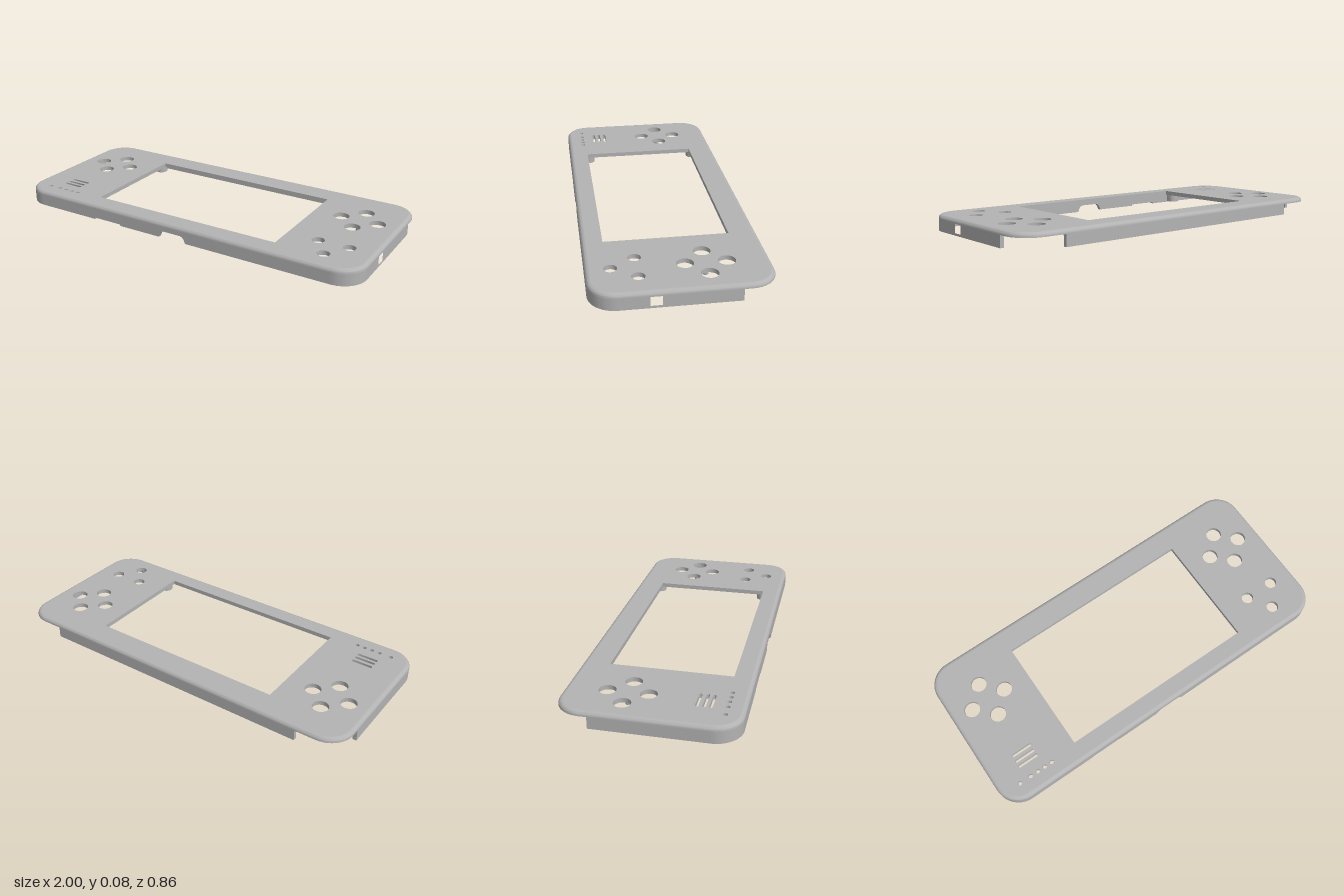
import * as THREE from 'three';
import { toCreasedNormals } from 'three/addons/utils/BufferGeometryUtils.js';

const W = 1, D = 0.43, R = 0.13;           // half width, half depth, corner radius
const TOP = 0.083, UNDER = 0.06;           // plate top and underside
const WALL = 0.02, FILLET = 0.02;

const material = new THREE.MeshStandardMaterial({ color: 0xb3b3b3 });
material.name = 'shell grey';

function add(parent, name, geometry) {
  const mesh = new THREE.Mesh(toCreasedNormals(geometry, 0.6), material);
  mesh.name = name;
  parent.add(mesh);
  return mesh;
}

// Rounded outline in plan, counter-clockwise from above; y of the plan is -z
function outline(inset) {
  const points = [], r = R - inset, steps = 10;
  [[1, 1], [-1, 1], [-1, -1], [1, -1]].forEach(([sx, sy], corner) => {
    for (let i = 0; i <= steps; i++) {
      const a = (corner + i / steps) * Math.PI / 2;
      points.push(new THREE.Vector2(sx * (W - R) + r * Math.cos(a), sy * (D - R) + r * Math.sin(a)));
    }
  });
  return points;
}

// Extrude a plan shape upwards between two heights
function slab(shape, y0, y1) {
  const g = new THREE.ExtrudeGeometry(shape, { depth: y1 - y0, bevelEnabled: false, curveSegments: 12 });
  return g.rotateX(-Math.PI / 2).translate(0, y0, 0);
}

function circle(x, z, r) {
  return new THREE.Path().absarc(x, -z, r, 0, Math.PI * 2, true);
}

function rectangle(x0, x1, y0, y1) {
  return new THREE.Path([[x0, y0], [x0, y1], [x1, y1], [x1, y0]].map(p => new THREE.Vector2(...p)));
}

function slot(x0, x1, z, r) {
  const p = new THREE.Path();
  p.absarc(x0 + r, -z, r, -Math.PI / 2, Math.PI / 2, true);
  p.absarc(x1 - r, -z, r, Math.PI / 2, -Math.PI / 2, true);
  p.closePath();
  return p;
}

// Loft a profile of [inset, height] around the outline
function rim(profile) {
  const pos = [], index = [], n = outline(0).length;
  for (const [inset, y] of profile) for (const p of outline(inset)) pos.push(p.x, y, -p.y);
  for (let j = 0; j < profile.length - 1; j++) {
    for (let i = 0; i < n; i++) {
      const k = (i + 1) % n, a = j * n + i, b = j * n + k;
      index.push(a, b, b + n, a, b + n, a + n);
    }
  }
  const g = new THREE.BufferGeometry();
  g.setAttribute('position', new THREE.Float32BufferAttribute(pos, 3));
  g.setIndex(index);
  return g;
}

export function createModel() {
  const model = new THREE.Group();
  model.name = 'handheldFrontShell';

  // Face plate with its openings
  const face = new THREE.Shape(outline(FILLET));
  face.holes.push(rectangle(-0.54, 0.535, -0.328, 0.292));
  for (const x of [-0.785, 0.785]) {
    for (const [dx, dz] of [[0, -0.1], [0, 0.098], [-0.1, 0], [0.098, 0]]) {
      face.holes.push(circle(x + dx, -0.128 + dz, 0.042));
    }
  }
  for (const [x, z] of [[0.702, 0.195], [0.865, 0.195], [0.783, 0.314]]) face.holes.push(circle(x, z, 0.032));
  for (const z of [0.205, 0.239, 0.27]) face.holes.push(slot(-0.845, -0.73, z, 0.008));
  for (const x of [-0.885, -0.82, -0.776, -0.734, -0.692]) face.holes.push(circle(x, 0.345, 0.011));
  add(model, 'facePlate', slab(face, UNDER, TOP));

  // Rounded rim around the plate
  const profile = [[FILLET, UNDER], [0, UNDER]];
  for (let i = 0; i <= 6; i++) {
    const a = i / 6 * Math.PI / 2;
    profile.push([FILLET * (1 - Math.cos(a)), TOP - FILLET + FILLET * Math.sin(a)]);
  }
  add(model, 'roundedRim', rim(profile));

  // Front wall with the port notch and a shallow groove
  const front = new THREE.Shape();
  front.moveTo(-(W - R), 0);
  front.lineTo(-0.5, 0);
  front.lineTo(-0.5, 0.008);
  front.lineTo(-0.33, 0.008);
  front.lineTo(-0.33, 0);
  front.lineTo(-0.08, 0);
  front.quadraticCurveTo(-0.072, 0.036, -0.045, 0.036);
  front.lineTo(0.045, 0.036);
  front.quadraticCurveTo(0.072, 0.036, 0.08, 0);
  front.lineTo(W - R, 0);
  front.lineTo(W - R, UNDER);
  front.lineTo(-(W - R), UNDER);
  const frontGeometry = new THREE.ExtrudeGeometry(front, { depth: WALL, bevelEnabled: false });
  add(model, 'frontWall', frontGeometry.translate(0, 0, D - WALL));

  // Side walls stop short of the back corners; the left one has a window
  const sideBack = -0.26, sideFront = D - R;
  for (const s of [-1, 1]) {
    const side = new THREE.Shape(rectangle(-sideFront, -sideBack, 0, UNDER).getPoints());
    if (s > 0) side.holes.push(rectangle(-0.16, -0.105, 0.012, 0.058));
    const g = new THREE.ExtrudeGeometry(side, { depth: WALL, bevelEnabled: false });
    g.rotateY(Math.PI / 2).translate(s > 0 ? W - WALL : -W, 0, 0);
    add(model, s > 0 ? 'leftWall' : 'rightWall', g);

    // Front corner walls
    const corner = new THREE.Shape();
    const a0 = s > 0 ? -Math.PI / 2 : -Math.PI, a1 = a0 + Math.PI / 2;
    corner.absarc(s * (W - R), -(D - R), R, a0, a1, false);
    corner.absarc(s * (W - R), -(D - R), R - WALL, a1, a0, true);
    add(model, s > 0 ? 'leftCornerWall' : 'rightCornerWall', slab(corner, 0, UNDER));
  }

  // Back wall between the open corners
  const back = new THREE.BoxGeometry(1.52, UNDER, WALL);
  add(model, 'backWall', back.translate(0, UNDER / 2, -D + WALL / 2 + 0.002));

  // Hollow screw posts beside the screen and small pegs between the buttons
  for (const x of [-0.59, 0.59]) {
    for (const z of [-0.32, 0.32]) {
      const post = new THREE.Shape().absarc(x, -z, 0.035, 0, Math.PI * 2, false);
      post.holes.push(circle(x, z, 0.016));
      add(model, 'screwPost', slab(post, 0.018, UNDER));
    }
  }
  for (const x of [-0.785, 0.785]) {
    const peg = new THREE.CylinderGeometry(0.015, 0.015, 0.04, 16);
    add(model, 'buttonPeg', peg.translate(x, UNDER - 0.02, -0.128));
  }
  return model;
}
